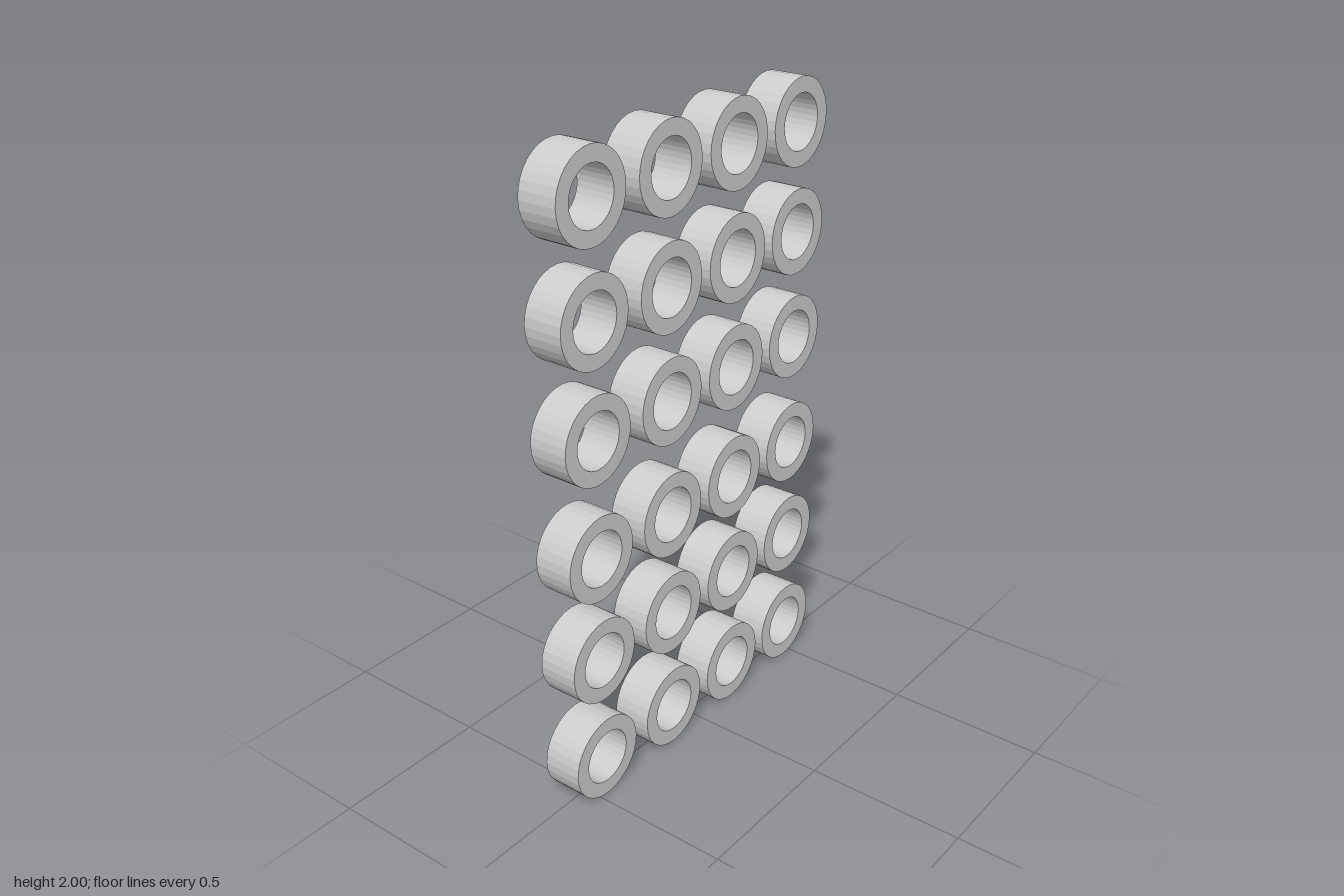
import * as THREE from 'three';

const OUTER = 0.134, INNER = 0.086, HALF = 0.0625, SIDES = 32;
const COLUMNS = [-0.466, -0.145, 0.161, 0.466];
const ROWS = [0.134, 0.479, 0.82, 1.188, 1.53, 1.866];

// Short thick-walled tube with its bore along z
function ringGeometry() {
  const profile = [
    [OUTER, -HALF], [OUTER, HALF], [INNER, HALF], [INNER, -HALF], [OUTER, -HALF],
  ].map(([r, h]) => new THREE.Vector2(r, h));
  return new THREE.LatheGeometry(profile, SIDES).rotateX(Math.PI / 2);
}

export function createModel() {
  const model = new THREE.Group();
  model.name = 'ringGrid';
  const material = new THREE.MeshStandardMaterial({ color: 0xcccccc, flatShading: true });
  const geometry = ringGeometry();

  // Six rows of four separate rings
  ROWS.forEach((y, row) => {
    const rowGroup = new THREE.Group();
    rowGroup.name = `ringRow${row + 1}`;
    rowGroup.position.y = y;
    COLUMNS.forEach((x, column) => {
      const ring = new THREE.Mesh(geometry, material);
      ring.name = `ring${column + 1}`;
      ring.position.x = x;
      rowGroup.add(ring);
    });
    model.add(rowGroup);
  });
  return model;
}
